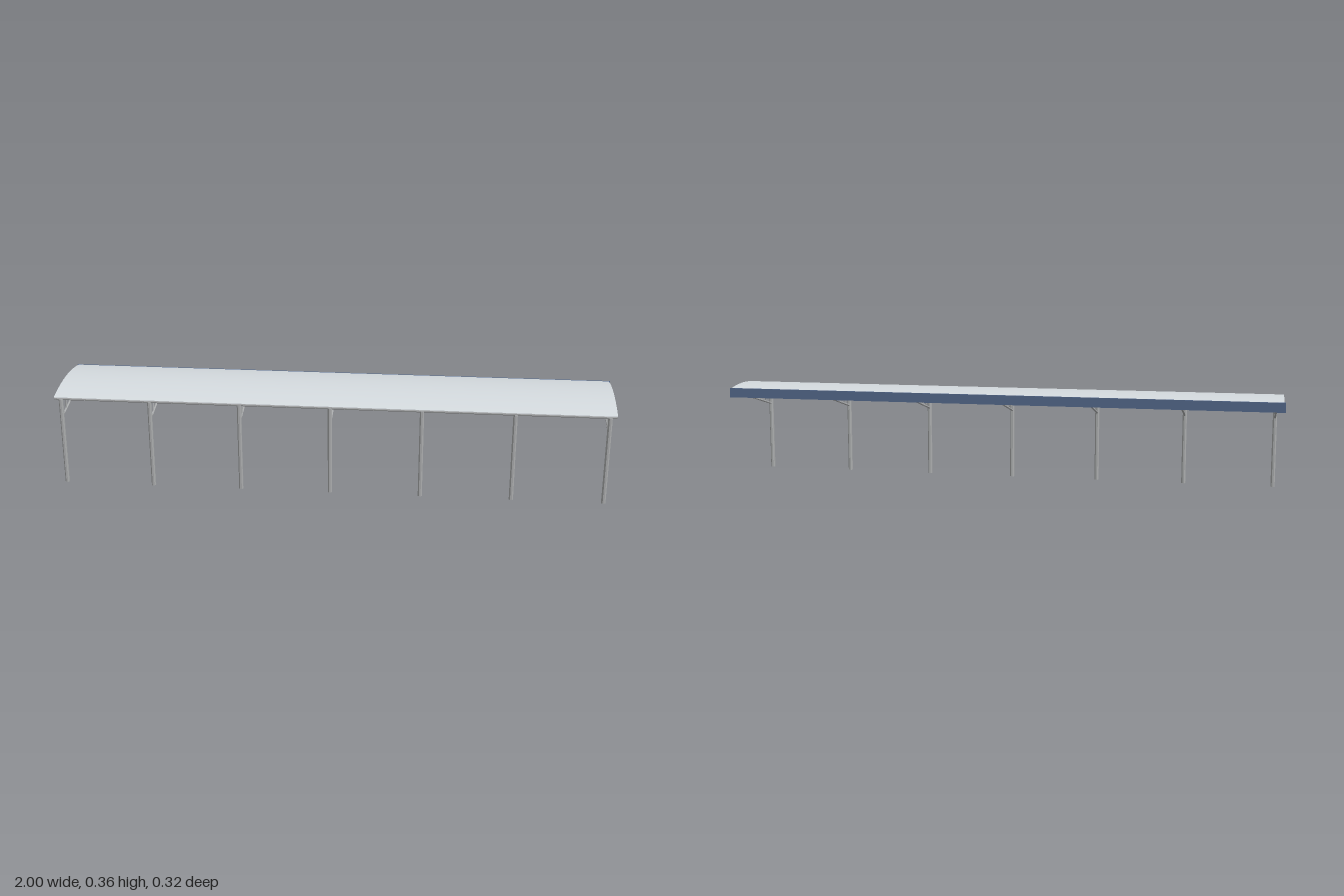
import * as THREE from 'three';

export function createModel() {
  const model = new THREE.Group();
  const material = (name, color) => {
    const m = new THREE.MeshStandardMaterial({ color });
    m.name = name;
    return m;
  };
  const steel = material('grey steel', 0xa9abac);
  const sheet = material('pale roof sheet', 0xd3d9dd);
  const blue = material('slate blue fascia', 0x53678a);

  const add = (parent, name, geometry, mat) => {
    const mesh = new THREE.Mesh(geometry, mat);
    mesh.name = name;
    parent.add(mesh);
    return mesh;
  };
  const up = new THREE.Vector3(0, 1, 0);

  // Faceted eight-sided bar between two points
  const bar = (parent, name, from, to, radius) => {
    const a = new THREE.Vector3(...from), b = new THREE.Vector3(...to);
    const dir = b.clone().sub(a);
    const prism = new THREE.CylinderGeometry(radius, radius, dir.length(), 8)
      .rotateY(Math.PI / 8).toNonIndexed();
    prism.computeVertexNormals();
    const mesh = add(parent, name, prism, steel);
    mesh.position.copy(a).add(b).multiplyScalar(0.5);
    mesh.quaternion.setFromUnitVectors(up, dir.normalize());
  };

  // Repeated frames: post, two chords and slanting web bars, as [z, y] pairs
  const webs = [
    [0.103, 0.270, 0.092, 0.322],
    [0.053, 0.283, 0.032, 0.328],
    [0.002, 0.296, -0.027, 0.332],
    [-0.050, 0.308, -0.087, 0.338],
  ];
  for (let i = 0; i < 7; i++) {
    const frame = new THREE.Group();
    frame.name = 'supportFrame';
    frame.position.x = -0.97 + i * 0.97 / 3;
    bar(frame, 'post', [0, 0, 0.153], [0, 0.321, 0.153], 0.0081);
    bar(frame, 'topChord', [0, 0.322, 0.152], [0, 0.344, -0.153], 0.0053);
    bar(frame, 'bottomChord', [0, 0.255, 0.15], [0, 0.326, -0.123], 0.0039);
    for (const [z1, y1, z2, y2] of webs) {
      bar(frame, 'webBar', [0, y1, z1], [0, y2, z2], 0.0019);
    }
    model.add(frame);
  }

  // Eave tube along the post tops and the tube behind the fascia
  bar(model, 'frontEaveTube', [-0.993, 0.322, 0.152], [0.993, 0.322, 0.152], 0.0053);
  bar(model, 'backEaveTube', [-0.993, 0.344, -0.15], [0.993, 0.344, -0.15], 0.0042);

  // Thin arched roof sheet
  const depth = 0.311;
  const roofY = z => {
    const t = z / (depth / 2);
    return 0.3375 - 0.0115 * t + 0.0195 * (1 - t * t);
  };
  const roof = new THREE.BoxGeometry(1.99, 0.0016, depth, 1, 1, 24);
  const p = roof.attributes.position;
  for (let i = 0; i < p.count; i++) {
    p.setY(i, p.getY(i) + roofY(p.getZ(i)));
  }
  roof.computeVertexNormals();
  add(model, 'roofSheet', roof, sheet);

  // Fascia board along the back edge
  const fascia = add(model, 'fascia', new THREE.BoxGeometry(2, 0.034, 0.006), blue);
  fascia.position.set(0, 0.333, -0.157);

  return model;
}
